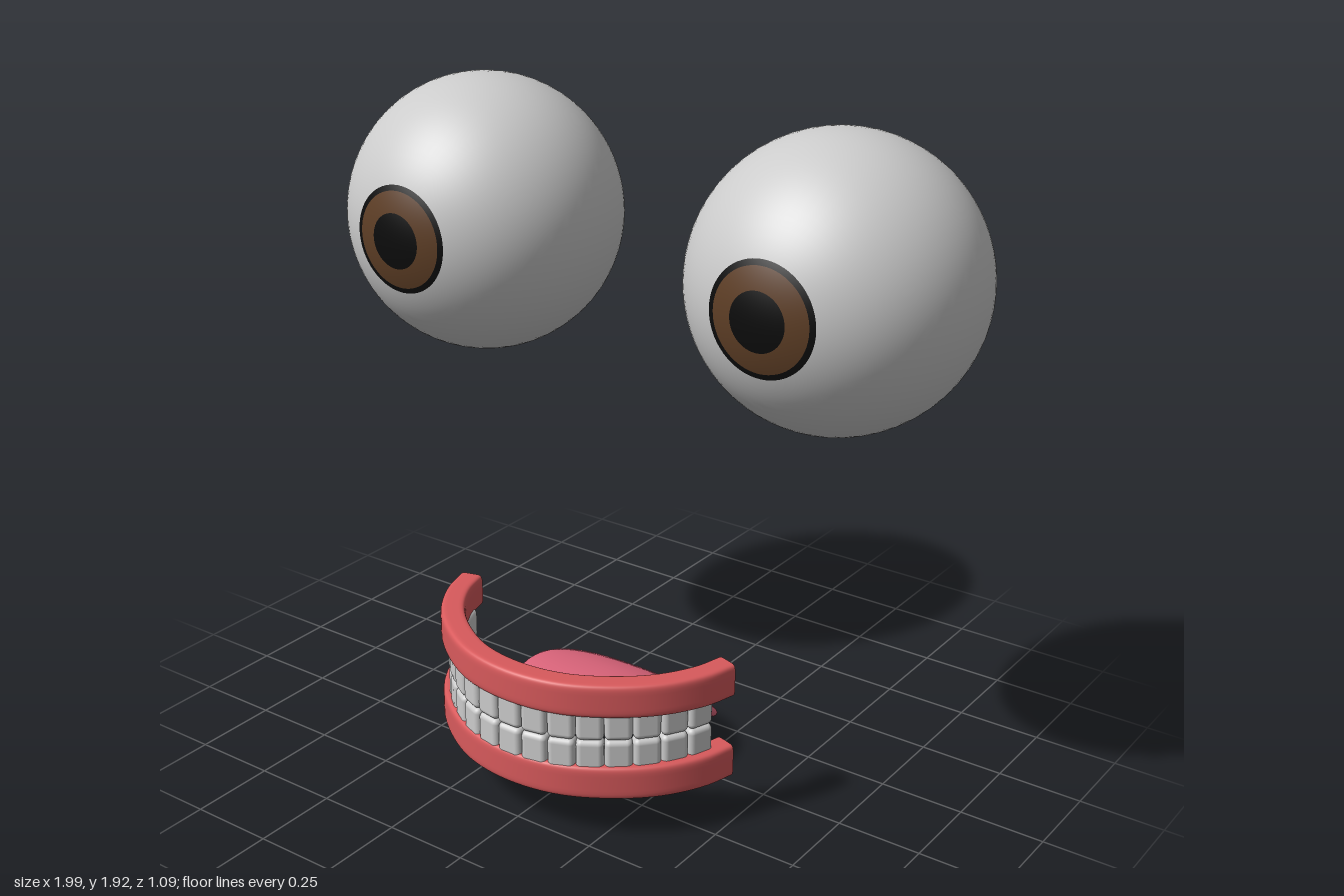
import * as THREE from 'three';
import { RoundedBoxGeometry } from 'three/addons/geometries/RoundedBoxGeometry.js';

const V = (x, y, z) => new THREE.Vector3(x, y, z);
const mat = (color) => new THREE.MeshStandardMaterial({ color });
const UP = V(0, 1, 0);

function mesh(name, geometry, material) {
  const m = new THREE.Mesh(geometry, material);
  m.name = name;
  return m;
}

// Ring of superellipse points around a centre, in the plane of u and v
function ring(centre, u, v, a, b, power, sides) {
  const curve = (c) => Math.sign(c) * Math.abs(c) ** (2 / power);
  return Array.from({ length: sides }, (_, j) => {
    const t = ((j + 0.5) / sides) * Math.PI * 2;
    return centre.clone()
      .addScaledVector(u, a * curve(Math.cos(t)))
      .addScaledVector(v, b * curve(Math.sin(t)));
  });
}

// Skin over a row of rings, with a separate flat cap on each end
function loft(rings) {
  const n = rings[0].length;
  const last = rings.length - 1;
  const pts = rings.flat();
  const index = [];
  for (let i = 0; i < last; i++) {
    for (let j = 0; j < n; j++) {
      const k = (j + 1) % n;
      const a = i * n + j, b = i * n + k, c = b + n, d = a + n;
      index.push(a, b, c, a, c, d);
    }
  }
  for (const [r, flip] of [[rings[0], true], [rings[last], false]]) {
    const base = pts.length;
    const mid = r.reduce((s, p) => s.add(p), V(0, 0, 0)).divideScalar(n);
    pts.push(mid, ...r);
    for (let j = 0; j < n; j++) {
      const a = base + 1 + j, b = base + 1 + ((j + 1) % n);
      index.push(base, flip ? b : a, flip ? a : b);
    }
  }
  const g = new THREE.BufferGeometry().setFromPoints(pts);
  g.setIndex(index);
  g.computeVertexNormals();
  return g;
}

// Horseshoe line of the jaw, from right to left
function jawCurve(scaleX, shiftZ) {
  const half = [[0.455, 0.14], [0.43, 0.225], [0.365, 0.33], [0.27, 0.415], [0.145, 0.482]];
  const pts = [
    ...half.map(([x, z]) => V(-x, 0, z)),
    V(0, 0, 0.505),
    ...half.reverse().map(([x, z]) => V(x, 0, z)),
  ];
  return new THREE.CatmullRomCurve3(pts.map((p) => V(p.x * scaleX, 0, p.z + shiftZ)));
}

function gumGeometry() {
  const curve = jawCurve(1, 0);
  const rings = [];
  for (let i = 0; i <= 48; i++) {
    const out = curve.getTangentAt(i / 48).cross(UP);
    rings.push(ring(curve.getPointAt(i / 48), UP, out, 0.05, 0.036, 6, 40));
  }
  return loft(rings);
}

function tongueGeometry() {
  // z, y, half width, half thickness
  const stations = [
    [-0.277, 0.012, 0.12, 0.012], [-0.253, 0.034, 0.17, 0.025], [-0.21, 0.068, 0.2, 0.032],
    [-0.1, 0.16, 0.21, 0.036], [0, 0.232, 0.22, 0.036], [0.1, 0.277, 0.217, 0.034],
    [0.2, 0.3, 0.2, 0.032], [0.3, 0.307, 0.168, 0.03], [0.38, 0.306, 0.118, 0.026],
    [0.425, 0.303, 0.06, 0.018], [0.44, 0.303, 0.012, 0.005],
  ];
  const path = new THREE.CatmullRomCurve3(stations.map(([z, y]) => V(0, y, z)));
  const size = new THREE.CatmullRomCurve3(stations.map(([, , w, h]) => V(w, h, 0)));
  const side = V(1, 0, 0);
  const rings = [];
  for (let i = 0; i <= 50; i++) {
    const t = i / 50;
    const s = size.getPoint(t);
    rings.push(ring(path.getPoint(t), side, path.getTangent(t).cross(side), s.x, s.y, 2.3, 32));
  }
  return loft(rings);
}

// Eyeball made of colour bands around the forward axis
function eye(name, materials) {
  const R = 0.405;
  const group = new THREE.Group();
  group.name = name;
  const bands = [
    ['pupil', 0, 0.199, 6, materials.black],
    ['iris', 0.199, 0.352, 6, materials.brown],
    ['irisRim', 0.352, 0.393, 2, materials.black],
    ['eyeball', 0.393, Math.PI, 40, materials.grey],
  ];
  for (const [part, from, to, rows, material] of bands) {
    const g = new THREE.SphereGeometry(R, 64, rows, 0, Math.PI * 2, from, to - from);
    group.add(mesh(part, g.rotateX(Math.PI / 2), material));
  }
  return group;
}

export function createModel() {
  const model = new THREE.Group();
  model.name = 'eyesAndMouth';
  const materials = {
    grey: mat(0xcccccc), black: mat(0x0c0c0c), brown: mat(0x5f3f26),
    gum: mat(0xd85a5c), tongue: mat(0xe2687f),
  };

  // Eyes
  for (const [name, s] of [['leftEye', 1], ['rightEye', -1]]) {
    const e = eye(name, materials);
    e.position.set(0.592 * s, 1.52, -0.14);
    model.add(e);
  }

  // Gums
  const gum = gumGeometry();
  for (const [name, y] of [['upperGum', 0.438], ['lowerGum', 0.185]]) {
    const m = mesh(name, gum, materials.gum);
    m.position.y = y;
    model.add(m);
  }

  // Two rows of teeth along the jaw
  const curve = jawCurve(0.95, 0.007);
  const count = 15;
  const from = 0.03;
  const step = (1 - 2 * from) / count;
  const tooth = new RoundedBoxGeometry(step * curve.getLength() * 1.01, 0.094, 0.05, 3, 0.016);
  for (const [name, y] of [['upperTeeth', 0.358], ['lowerTeeth', 0.264]]) {
    const row = new THREE.Group();
    row.name = name;
    for (let i = 0; i < count; i++) {
      const u = from + (i + 0.5) * step;
      const t = curve.getTangentAt(u);
      const m = mesh('tooth', tooth, materials.grey);
      m.position.copy(curve.getPointAt(u)).setY(y);
      m.rotation.y = Math.atan2(-t.z, t.x);
      row.add(m);
    }
    model.add(row);
  }

  // Tongue
  model.add(mesh('tongue', tongueGeometry(), materials.tongue));
  return model;
}
